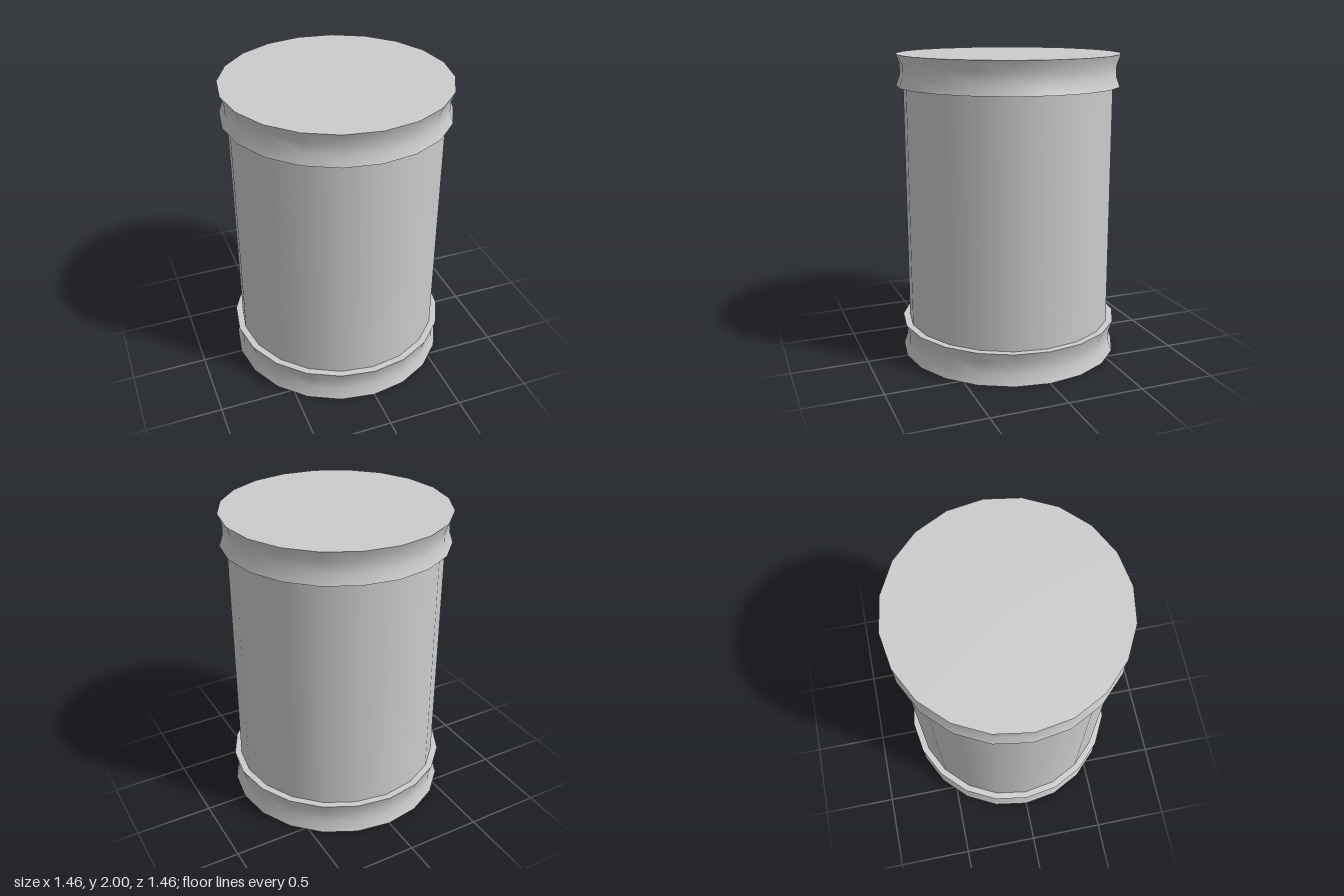
import * as THREE from 'three';

const SIDES = 20;
const R_BODY = 0.685, R_RIM = 0.73, R_WAIST = 0.706;

export function createModel() {
  const model = new THREE.Group();
  const material = new THREE.MeshStandardMaterial({ color: 0xcccccc });

  const add = (parent, name, geometry, y = 0) => {
    const mesh = new THREE.Mesh(geometry, material);
    mesh.name = name;
    mesh.position.y = y;
    parent.add(mesh);
    return mesh;
  };

  // Plain barrel wall, its ends closed by the two hoops
  add(model, 'body', new THREE.CylinderGeometry(R_BODY, R_BODY, 1.7, SIDES, 1, true), 1);

  // Flared hoop with a pinched waist and flat faces above and below
  const addHoop = (name, y, height) => {
    const hoop = new THREE.Group();
    hoop.name = name;
    hoop.position.y = y;
    const profile = [[R_RIM, 0], [R_WAIST, 0.33], [R_WAIST, 0.68], [R_RIM, 1]]
      .map(([r, t]) => new THREE.Vector2(r, t * height));
    add(hoop, name + 'Side', new THREE.LatheGeometry(profile, SIDES));
    const disc = new THREE.CircleGeometry(R_RIM, SIDES);
    add(hoop, name + 'TopFace', disc, height).rotation.x = -Math.PI / 2;
    add(hoop, name + 'BottomFace', disc).rotation.x = Math.PI / 2;
    model.add(hoop);
  };
  addHoop('bottomHoop', 0, 0.215);
  addHoop('topHoop', 1.795, 0.205);

  return model;
}
